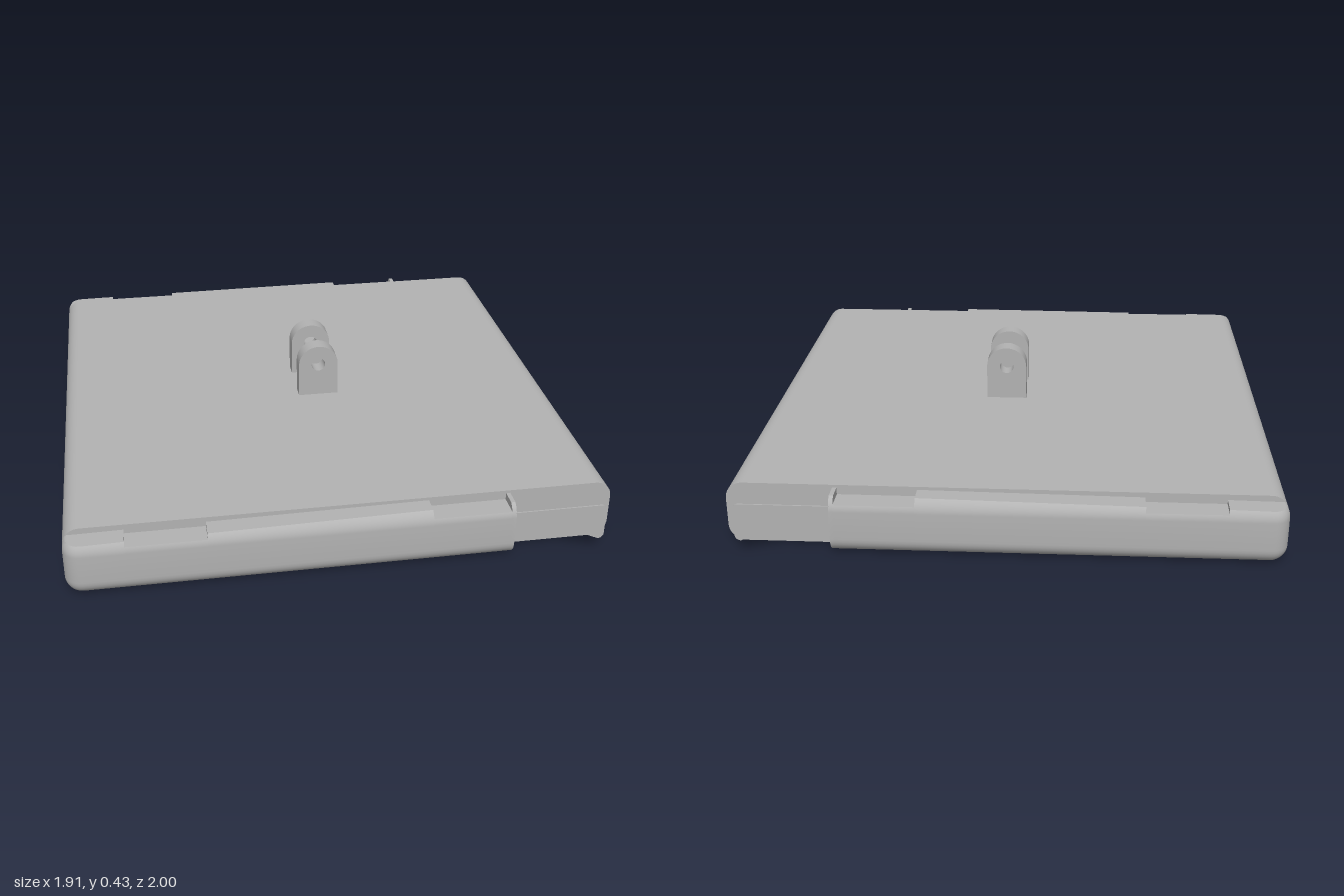
import * as THREE from 'three';
import { toCreasedNormals } from 'three/addons/utils/BufferGeometryUtils.js';

const R = 0.06;        // edge rounding of the whole body
const H = 0.222;       // body height
const END = 0.955;     // half length in x
const INNER = 0.915;   // half width of the main slab

const grey = new THREE.MeshStandardMaterial({ color: 0xb3b3b3 });
grey.name = 'plain grey';

// Crease at enlarged scale so that small roundings keep distinct vertices
function crease(geo) {
  geo.scale(100, 100, 100);
  const out = toCreasedNormals(geo, 0.6);
  return out.scale(0.01, 0.01, 0.01);
}

function addMesh(parent, name, geo) {
  const mesh = new THREE.Mesh(geo, grey);
  mesh.name = name;
  parent.add(mesh);
  return mesh;
}

function extrude(shape, depth, z) {
  const geo = new THREE.ExtrudeGeometry(shape, { depth, bevelEnabled: false, curveSegments: 12 });
  return crease(geo.translate(0, 0, z));
}

function slabShape() {
  const s = new THREE.Shape();
  s.absarc(END - R, R, R, -Math.PI / 2, 0, false);
  s.absarc(END - R, H - R, R, 0, Math.PI / 2, false);
  s.absarc(-END + R, H - R, R, Math.PI / 2, Math.PI, false);
  s.absarc(-END + R, R, R, Math.PI, Math.PI * 1.5, false);
  s.closePath();
  return s;
}

// Thin tongue that continues the outer wall of the rail
function tongueShape() {
  const s = new THREE.Shape(), r = 0.02;
  s.moveTo(0.58, 0.046);
  s.absarc(0.91 - r, 0.046 + r, r, -Math.PI / 2, 0, false);
  s.absarc(0.91 - r, 0.184 - r, r, 0, Math.PI / 2, false);
  s.lineTo(0.58, 0.184);
  s.closePath();
  return s;
}

// Upright lug with a round top and a pin hole
function lugShape() {
  const s = new THREE.Shape(), cx = 0.04, cy = 0.353, r = 0.077;
  s.moveTo(cx - r, H - 0.01);
  s.lineTo(cx + r, H - 0.01);
  s.absarc(cx, cy, r, 0, Math.PI, false);
  s.closePath();
  const hole = new THREE.Path();
  hole.absarc(cx, cy, 0.027, 0, Math.PI * 2, true);
  s.holes.push(hole);
  return s;
}

// Rail cross-section in (z, y): rounded outside, shaved flat at height top
function railSection(inset, top) {
  const r = R - inset, n = 8, pts = [[INNER, inset]];
  for (let i = 0; i <= n; i++) {
    const a = -Math.PI / 2 * (1 - i / n);
    pts.push([1 - R + r * Math.cos(a), R + r * Math.sin(a)]);
  }
  const cut = top < H - inset;
  const end = cut ? Math.asin((top - H + R) / r) : Math.PI / 2;
  for (let i = 0; i <= n; i++) {
    const a = end * i / n;
    pts.push([1 - R + r * Math.cos(a), H - R + r * Math.sin(a)]);
  }
  pts.push([INNER, cut ? top : H - inset]);
  return pts;
}

function railGeometry(side) {
  const stations = [];
  // Rounded end
  for (let i = 0; i <= 8; i++) {
    const a = Math.PI / 2 * i / 8;
    stations.push([-END + R * (1 - Math.cos(a)), R * (1 - Math.sin(a)), 0.2]);
  }
  // Gently rising top with two notches
  const tops = [[-0.75, 0.202], [-0.75, 0.187], [-0.475, 0.187], [-0.475, 0.204],
    [0.295, 0.211], [0.295, 0.187], [0.57, 0.187], [0.57, 0.212], [0.585, 0.212]];
  for (const [x, top] of tops) stations.push([x, 0, top]);

  const rings = stations.map(([x, inset, top]) =>
    railSection(inset, top).map(([z, y]) => [x, y, z * side]));
  const pos = [];
  const tri = (a, b, c) => {
    if (side > 0) pos.push(...a, ...b, ...c);
    else pos.push(...a, ...c, ...b);
  };
  const n = rings[0].length;
  for (let k = 0; k + 1 < rings.length; k++) {
    const p = rings[k], q = rings[k + 1];
    for (let i = 0; i < n; i++) {
      const j = (i + 1) % n;
      tri(p[i], q[i], p[j]);
      tri(p[j], q[i], q[j]);
    }
  }
  // End caps
  const first = rings[0], last = rings[rings.length - 1];
  for (let i = 1; i + 1 < n; i++) {
    tri(first[0], first[i], first[i + 1]);
    tri(last[0], last[i + 1], last[i]);
  }
  const geo = new THREE.BufferGeometry();
  geo.setAttribute('position', new THREE.Float32BufferAttribute(pos, 3));
  return crease(geo);
}

export function createModel() {
  const model = new THREE.Group();
  model.name = 'mountingPlate';
  addMesh(model, 'slab', extrude(slabShape(), INNER * 2, -INNER));
  for (const side of [1, -1]) {
    const where = side > 0 ? 'front' : 'back';
    addMesh(model, where + 'Rail', railGeometry(side));
    addMesh(model, where + 'Tongue', extrude(tongueShape(), 0.005, side > 0 ? 0.995 : -1));
    addMesh(model, where + 'Lug', extrude(lugShape(), 0.06, side > 0 ? 0.067 : -0.127));
  }
  return model;
}
